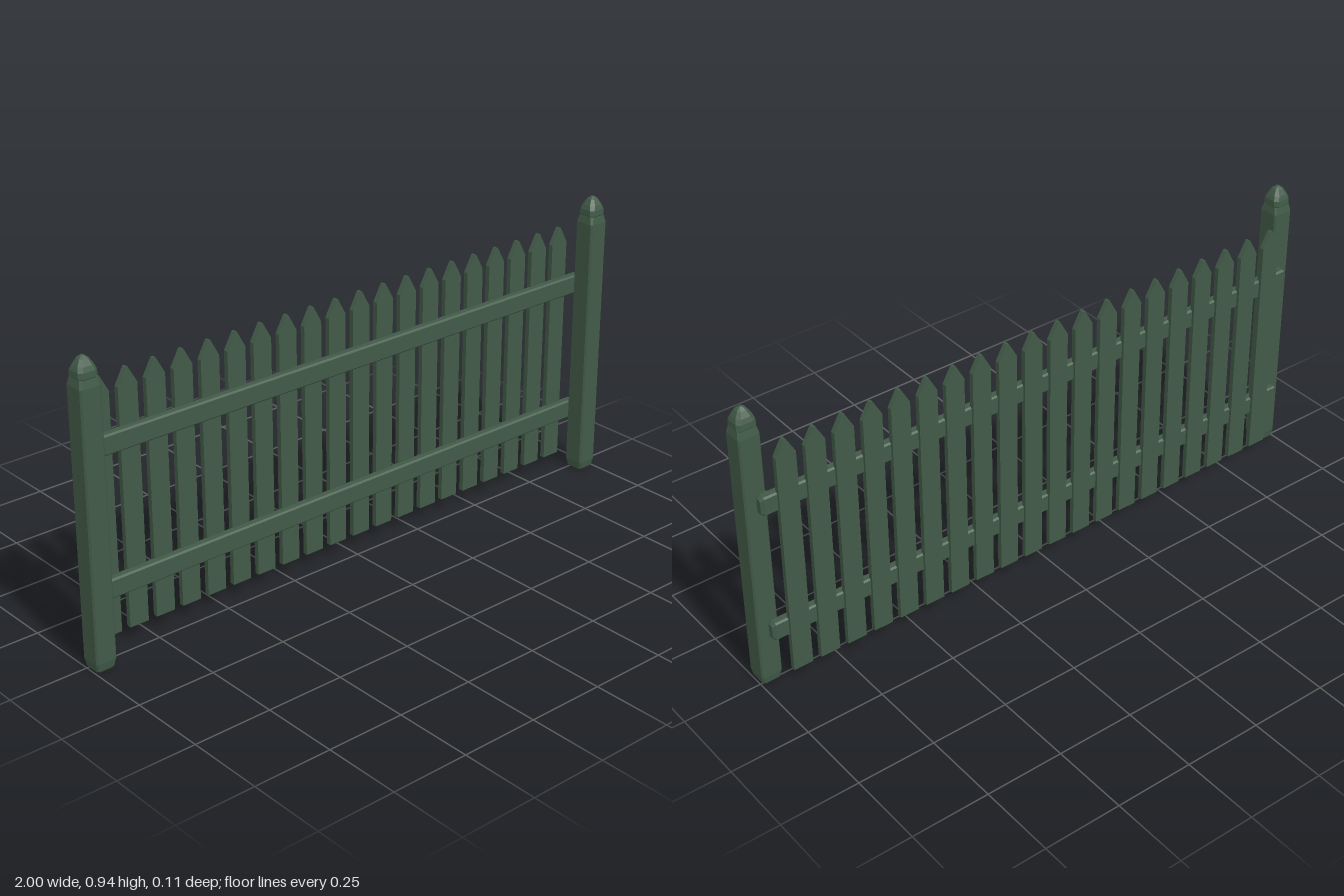
import * as THREE from 'three';
import { ConvexGeometry } from 'three/addons/geometries/ConvexGeometry.js';

const paint = new THREE.MeshStandardMaterial({ color: 0x415a47, flatShading: true });
paint.name = 'dark green paint';

// Convex solid through chamfered rectangles; each section is [y, halfX, halfZ, chamfer]
function chamferedSolid(sections) {
  const points = [];
  for (const [y, w, d, c] of sections) {
    for (const sx of [-1, 1]) {
      for (const sz of [-1, 1]) {
        points.push(new THREE.Vector3(sx * w, y, sz * (d - c)));
        points.push(new THREE.Vector3(sx * (w - c), y, sz * d));
      }
    }
  }
  return new ConvexGeometry(points);
}

function addMesh(parent, geometry, name, x, y, z) {
  const mesh = new THREE.Mesh(geometry, paint);
  mesh.name = name;
  mesh.position.set(x, y, z);
  parent.add(mesh);
  return mesh;
}

export function createModel() {
  const fence = new THREE.Group();
  fence.name = 'picketFence';

  // End posts with rounded caps
  const postGeometry = chamferedSolid([
    [0, 0.026, 0.026, 0.006],
    [0.006, 0.03, 0.03, 0.006],
    [0.03, 0.034, 0.034, 0.005],
    [0.862, 0.034, 0.034, 0.005],
    [0.885, 0.029, 0.029, 0.006],
  ]);
  const capGeometry = chamferedSolid([
    [0, 0.028, 0.028, 0.008],
    [0.004, 0.031, 0.031, 0.009],
    [0.022, 0.03, 0.03, 0.01],
    [0.036, 0.025, 0.025, 0.011],
    [0.053, 0.015, 0.015, 0.007],
    [0.061, 0.005, 0.005, 0.002],
  ]);
  for (const side of [-1, 1]) {
    const post = new THREE.Group();
    post.name = side > 0 ? 'leftPost' : 'rightPost';
    post.position.set(side * 0.966, 0, 0.019);
    addMesh(post, postGeometry, 'postShaft', 0, 0, 0);
    addMesh(post, capGeometry, 'postCap', 0, 0.884, 0);
    fence.add(post);
  }

  // Two horizontal rails, turned from upright to lie along x
  const railGeometry = chamferedSolid([
    [-0.967, 0.023, 0.009, 0.004],
    [-0.957, 0.031, 0.015, 0.005],
    [0.957, 0.031, 0.015, 0.005],
    [0.967, 0.023, 0.009, 0.004],
  ]).rotateZ(Math.PI / 2);
  addMesh(fence, railGeometry, 'lowerRail', 0, 0.202, -0.03);
  addMesh(fence, railGeometry, 'upperRail', 0, 0.643, -0.03);

  // Pointed pickets behind the rails
  const outline = new THREE.Shape();
  outline.moveTo(-0.032, 0.044);
  outline.lineTo(0.032, 0.044);
  outline.lineTo(0.032, 0.79);
  outline.lineTo(0.003, 0.842);
  outline.lineTo(-0.003, 0.842);
  outline.lineTo(-0.032, 0.79);
  outline.closePath();
  const picketGeometry = new THREE.ExtrudeGeometry(outline, { depth: 0.016, bevelEnabled: false });
  const pickets = new THREE.Group();
  pickets.name = 'pickets';
  const count = 20;
  for (let i = 0; i < count; i++) {
    addMesh(pickets, picketGeometry, 'picket', (i - (count - 1) / 2) * 0.093, 0, -0.053);
  }
  fence.add(pickets);

  return fence;
}
